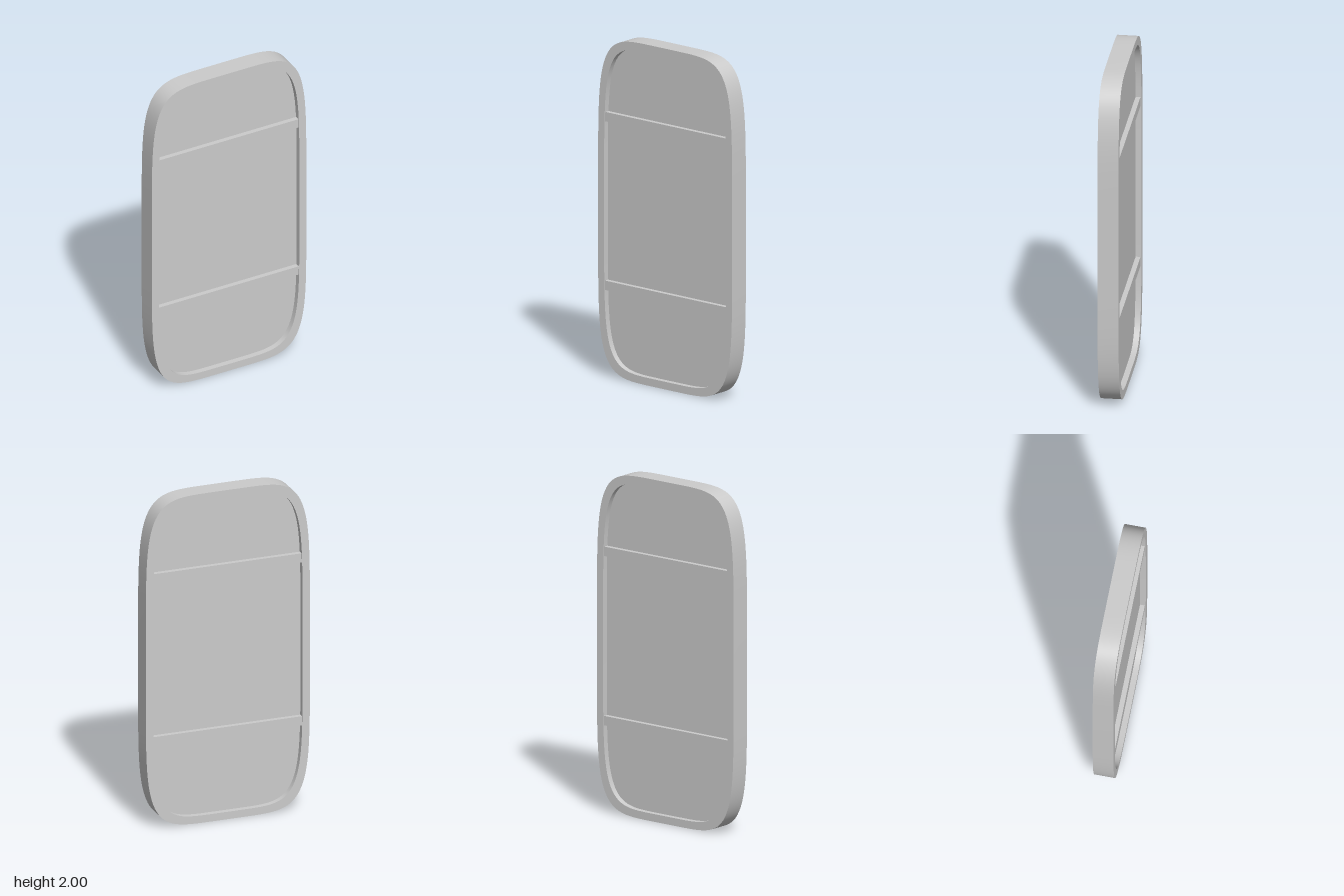
import * as THREE from 'three';
import { toCreasedNormals } from 'three/addons/utils/BufferGeometryUtils.js';

const DEPTH = 0.12;
const RIM = 0.045;

// Rounded oblong outline (superellipse) centred on the origin
function outline(a, b, n = 5.5, steps = 128) {
  const points = [];
  for (let i = 0; i < steps; i++) {
    const t = (i / steps) * Math.PI * 2;
    const c = Math.cos(t), s = Math.sin(t);
    points.push(new THREE.Vector2(
      a * Math.sign(c) * Math.abs(c) ** (2 / n),
      b * Math.sign(s) * Math.abs(s) ** (2 / n)));
  }
  return points;
}

// Flat extrusion centred on z = 0, with smooth rounded sides
function slab(shape, depth) {
  const geometry = new THREE.ExtrudeGeometry(shape, { depth, bevelEnabled: false });
  geometry.translate(0, 1, -depth / 2);
  return toCreasedNormals(geometry, 0.6);
}

export function createModel() {
  const model = new THREE.Group();
  const material = new THREE.MeshStandardMaterial({ color: 0xcccccc });
  const add = (name, geometry) => {
    const mesh = new THREE.Mesh(geometry, material);
    mesh.name = name;
    model.add(mesh);
    return mesh;
  };

  // Outer rim
  const rim = new THREE.Shape(outline(0.5, 1));
  rim.holes.push(new THREE.Path(outline(0.5 - RIM, 1 - RIM)));
  add('rim', slab(rim, DEPTH));

  // Recessed panel, tucked slightly into the rim
  add('panel', slab(new THREE.Shape(outline(0.46, 0.96)), 0.054));

  // Cross bars, standing proud of the panel on both sides
  for (const [name, y] of [['lowerBar', 0.532], ['upperBar', 1.522]]) {
    add(name, new THREE.BoxGeometry(0.92, 0.055, 0.11)).position.y = y;
  }

  return model;
}
